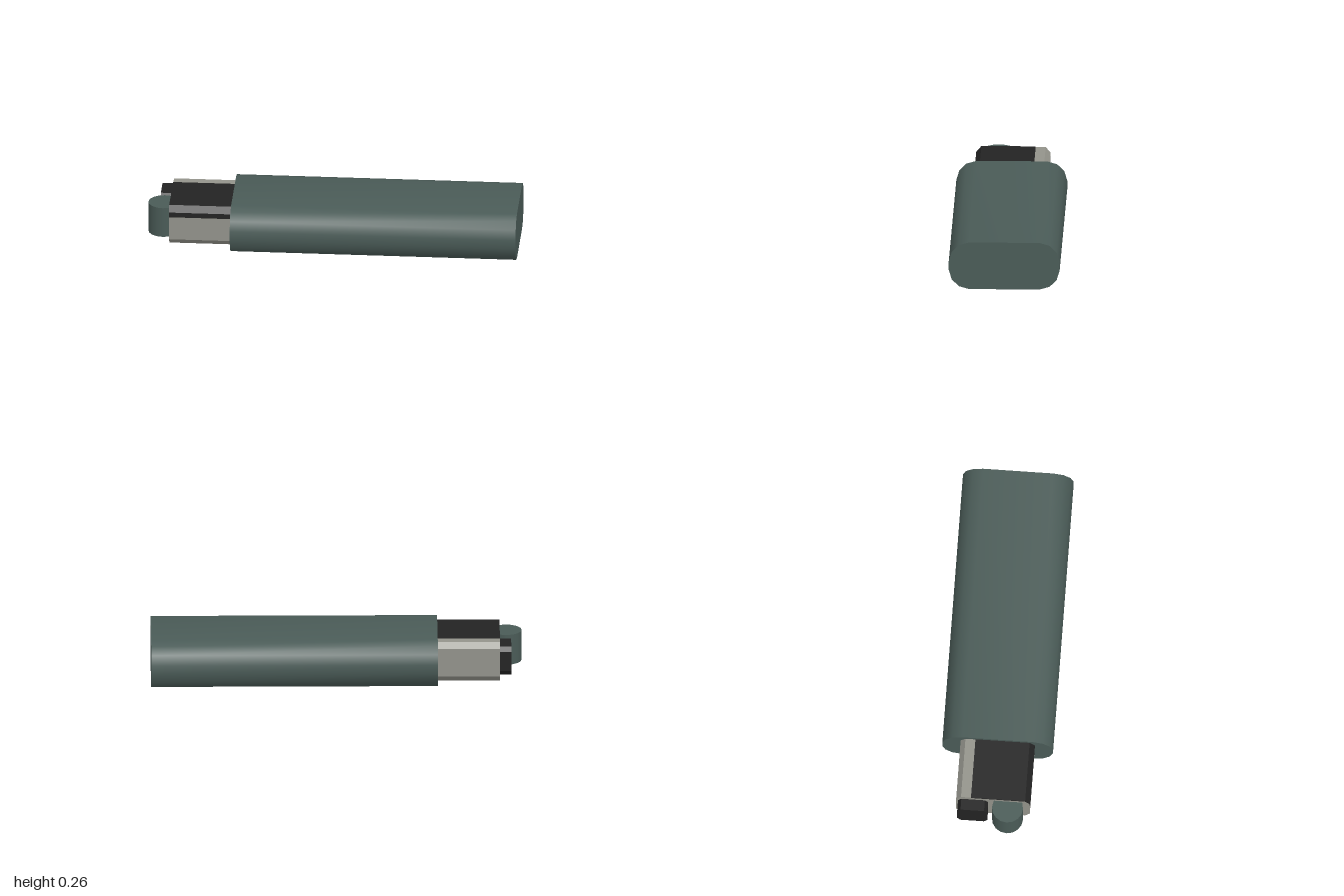
import * as THREE from 'three';
import { toCreasedNormals } from 'three/addons/utils/BufferGeometryUtils.js';

const material = (name, color) => new THREE.MeshStandardMaterial({ name, color });

// Solid with a cross-section of [z, y] points, running along x from x0 to x1.
function bar(name, points, x0, x1, mat, crease) {
  const shape = new THREE.Shape(points.map(([z, y]) => new THREE.Vector2(-z, y)));
  const geometry = new THREE.ExtrudeGeometry(shape, { depth: x1 - x0, bevelEnabled: false });
  geometry.rotateY(Math.PI / 2).translate(x0, 0, 0);
  const mesh = new THREE.Mesh(toCreasedNormals(geometry, crease), mat);
  mesh.name = name;
  return mesh;
}

// Rectangle with cut corners, as [z, y] points.
function chamfered(z0, z1, y0, y1, cz, cy) {
  return [
    [z0 + cz, y0], [z1 - cz, y0], [z1, y0 + cy], [z1, y1 - cy],
    [z1 - cz, y1], [z0 + cz, y1], [z0, y1 - cy], [z0, y0 + cy],
  ];
}

export function createModel() {
  const green = material('dark green', 0x4a5b57);
  const grey = material('warm grey', 0x93938b);
  const black = material('black', 0x232323);
  const model = new THREE.Group();
  model.name = 'model';

  // Long rounded housing, each corner in three facets
  const quarter = [[0.299, 0.024], [0.283, 0.077], [0.245, 0.115], [0.19, 0.131]];
  const mirrored = quarter.map(([z, y]) => [-z, y]).reverse();
  const upper = [...quarter, ...mirrored];
  const lower = upper.map(([z, y]) => [-z, -y]);
  const outline = [...upper, ...lower].map(([z, y]) => [z, y + 0.131]);
  model.add(bar('housing', outline, -0.545, 1, green, 0.7));

  // Chamfered neck
  model.add(bar('neck', chamfered(-0.2, 0.198, 0.022, 0.243, 0.026, 0.031), -0.88, -0.54, grey, 0.2));

  // Thin cover wrapping the top and front edge of the neck
  const cover = [
    [-0.12, 0.24], [-0.12, 0.246], [0.173, 0.246], [0.201, 0.213],
    [0.201, 0.185], [0.196, 0.185], [0.196, 0.211], [0.171, 0.24],
  ];
  model.add(bar('neckCover', cover, -0.881, -0.54, black, 0.2));

  // Plug on the end of the neck
  model.add(bar('endPlug', chamfered(-0.19, -0.027, 0.055, 0.215, 0.018, 0.025), -0.942, -0.87, black, 0.2));

  // Upright round post beside the plug
  const post = new THREE.Mesh(new THREE.CylinderGeometry(0.084, 0.084, 0.17, 16), green);
  post.name = 'endPost';
  post.position.set(-0.916, 0.135, 0.08);
  model.add(post);

  return model;
}
